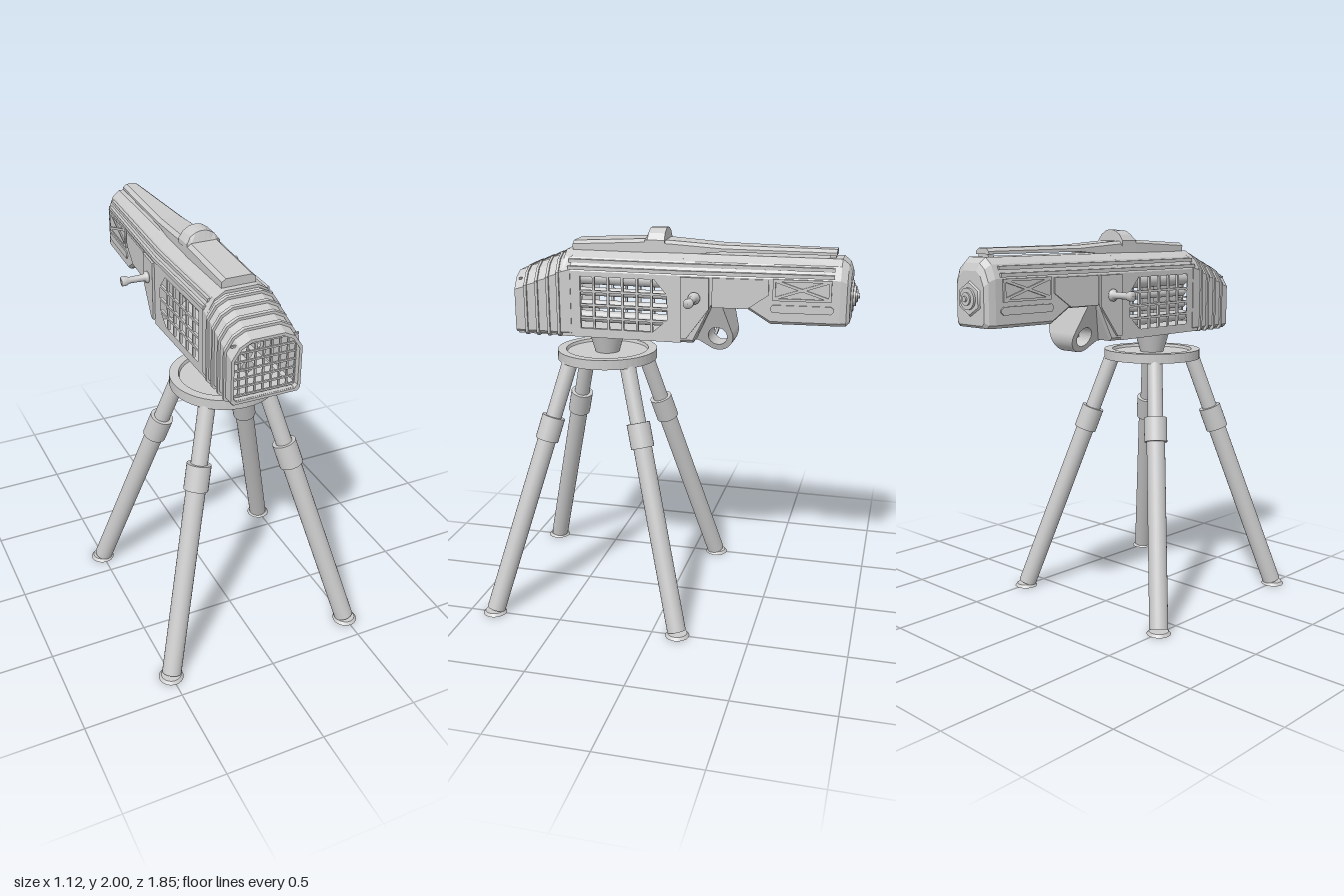
import * as THREE from 'three';

const smooth = new THREE.MeshStandardMaterial({ color: 0xcccccc });
const flat = new THREE.MeshStandardMaterial({ color: 0xcccccc, flatShading: true });
const double = new THREE.MeshStandardMaterial({ color: 0xcccccc, side: THREE.DoubleSide });
const V = (x, y, z) => new THREE.Vector3(x, y, z);

// Half width of the housing along its length: straight at the front, tapering to the rear
const halfWidth = z => (z > -0.07 ? 0.17 : 0.17 + (z + 0.07) * 0.062);

function add(parent, name, geometry, material = flat) {
  const mesh = new THREE.Mesh(geometry, material);
  mesh.name = name;
  parent.add(mesh);
  return mesh;
}

// Cylinder between two points
function rod(parent, name, a, b, ra, rb = ra, sides = 24) {
  const m = add(parent, name, new THREE.CylinderGeometry(rb, ra, a.distanceTo(b), sides), smooth);
  m.position.copy(a).lerp(b, 0.5);
  m.quaternion.setFromUnitVectors(V(0, 1, 0), b.clone().sub(a).normalize());
}

// Square bar between two points
function beam(parent, name, a, b, w, h) {
  const m = add(parent, name, new THREE.BoxGeometry(w, h, a.distanceTo(b)));
  m.position.copy(a).lerp(b, 0.5);
  m.lookAt(b);
}

// Skin over matching cross-sections running front to back
function loft(sections, capped = true) {
  const out = [];
  const tri = (...p) => p.forEach(v => out.push(v.x, v.y, v.z));
  const n = sections[0].length;
  for (let k = 0; k + 1 < sections.length; k++) {
    const a = sections[k], b = sections[k + 1];
    for (let i = 0; i < n; i++) {
      const j = (i + 1) % n;
      tri(a[i], b[i], a[j]);
      tri(a[j], b[i], b[j]);
    }
  }
  if (capped) {
    const f = sections[0], r = sections.at(-1);
    for (let i = 1; i + 1 < n; i++) {
      tri(f[0], f[i], f[i + 1]);
      tri(r[0], r[i + 1], r[i]);
    }
  }
  const g = new THREE.BufferGeometry();
  g.setAttribute('position', new THREE.Float32BufferAttribute(out, 3));
  g.computeVertexNormals();
  return g;
}

// Mirrors the right-hand half of a section to close it
const mirrored = (half, z) => [
  ...half.map(([x, y]) => V(x, y, z)),
  ...half.slice().reverse().map(([x, y]) => V(-x, y, z)),
];
const shoulders = (w, s, t) => [[w, s], [w * 0.78, s + (t - s) * 0.68], [w * 0.48, t]];
const section = (z, w, b, s, t) => mirrored([[w - 0.015, b], [w, b + 0.015], ...shoulders(w, s, t)], z);

// Plate on one side wall, drawn as [z, y] points and bent to follow the taper
function sidePlate(parent, name, side, points, from, to, hole) {
  const path = pts => pts.map(([z, y]) => new THREE.Vector2(-side * z, y));
  const shape = new THREE.Shape(path(points));
  if (hole) shape.holes.push(new THREE.Path(path(hole)));
  const g = new THREE.ExtrudeGeometry(shape, { depth: to - from, bevelEnabled: false });
  const p = g.attributes.position;
  for (let i = 0; i < p.count; i++) {
    const z = -side * p.getX(i);
    p.setXYZ(i, side * (halfWidth(z) + from + p.getZ(i)), p.getY(i), z);
  }
  g.computeVertexNormals();
  add(parent, name, g);
}
const rect = (z0, z1, y0, y1) => [[z0, y0], [z1, y0], [z1, y1], [z0, y1]];

function buildTripod() {
  const g = new THREE.Group();
  g.name = 'tripod';
  g.position.z = 0.365;
  const rim = [[0, 1.31], [0.26, 1.31], [0.26, 1.36], [0.215, 1.36], [0.21, 1.345], [0, 1.345]];
  const disc = new THREE.LatheGeometry(rim.map(p => new THREE.Vector2(...p)), 48).toNonIndexed();
  disc.computeVertexNormals();
  add(g, 'platform', disc);
  rod(g, 'neck', V(0, 1.34, 0), V(0, 1.47, 0), 0.062, 0.1, 32);
  for (const sx of [-1, 1]) for (const sz of [-1, 1]) {
    const at = y => V(sx * (0.5 - y * 0.263), y, sz * (0.5 - y * 0.263));
    rod(g, 'lowerLeg', at(0.02), at(1.0), 0.048);
    rod(g, 'upperLeg', at(0.95), at(1.32), 0.041);
    rod(g, 'legCollar', at(0.915), at(1.035), 0.06);
    rod(g, 'foot', V(sx * 0.5, 0, sz * 0.5), V(sx * 0.5, 0.015, sz * 0.5), 0.062, 0.05);
  }
  return g;
}

function buildFront(g) {
  // Stepped hood, each step a hollow ring a little taller than the one before
  const zs = [0.8, 0.74, 0.68, 0.62, 0.565, 0.5];
  for (let i = 0; i < 5; i++) {
    const ring = (z, t, o) => section(z, 0.173 + o, 1.46 - o, t - 0.085 + o * 0.5, t + o);
    const t0 = 1.768 + i * 0.024, t1 = t0 + 0.018;
    const shell = (a, b, ta, tb, o) => loft([ring(a, ta, o), ring(b, tb, o),
      ring(b, tb, -0.014), ring(a, ta, -0.014), ring(a, ta, o)], false);
    add(g, 'hoodStep', shell(zs[i], zs[i + 1], t0, t1, 0));
    if (i < 4) add(g, 'hoodRib', shell(zs[i + 1] + 0.007, zs[i + 1] - 0.007, t1, t1 + 0.004, 0.01));
  }
  // Front grille
  for (let i = 0; i < 9; i++) {
    const x = -0.16 + i * 0.04, top = 1.755 - Math.max(0, Math.abs(x) - 0.08) * 0.65;
    beam(g, 'grilleBar', V(x, 1.46, 0.765), V(x, top, 0.765), 0.009, 0.009);
  }
  for (let i = 0; i < 7; i++) {
    const y = 1.485 + i * 0.042;
    beam(g, 'grilleBar', V(-0.165, y, 0.77), V(0.165, y, 0.77), 0.009, 0.009);
  }
  // Hollow chamber: floor, roof and windowed walls
  const floor = add(g, 'floor', new THREE.BoxGeometry(0.32, 0.02, 0.85));
  floor.position.set(0, 1.465, 0.365);
  add(g, 'roof', loft([0.54, -0.07].map(z => mirrored(shoulders(0.17, 1.79, 1.885), z))));
  const pane = [[0.45, 1.5], [0.075, 1.5], [0, 1.565], [0, 1.69], [0.065, 1.765], [0.45, 1.765]];
  for (const s of [-1, 1]) {
    sidePlate(g, 'sideWall', s, rect(0.55, -0.07, 1.455, 1.79), -0.02, 0, pane);
    for (let i = 0; i < 5; i++)
      sidePlate(g, 'windowBar', s, rect(0.386 - i * 0.075, 0.374 - i * 0.075, 1.49, 1.77), -0.016, -0.003);
    for (const y of [1.555, 1.62, 1.69])
      sidePlate(g, 'windowBar', s, rect(0.46, -0.01, y - 0.006, y + 0.006), -0.016, -0.003);
  }
  for (const [y, r] of [[1.728, 0.035], [1.655, 0.022], [1.59, 0.022], [1.525, 0.03]])
    rod(g, 'innerTube', V(0, y, 0.62), V(0, y, -0.08), r);
}

function buildRear(g) {
  const hull = [[-0.06, 1.455], [-0.13, 1.455], [-0.22, 1.635], [-0.4, 1.635], [-0.51, 1.567], [-0.84, 1.567]]
    .map(([z, b]) => section(z, halfWidth(z), b, 1.79, 1.885));
  hull.push(section(-0.872, 0.112, 1.568, 1.775, 1.86), section(-0.887, 0.095, 1.58, 1.755, 1.825));
  add(g, 'rearHull', loft(hull));
  // Stacked end cap
  rod(g, 'endPlate', V(0, 1.7, -0.88), V(0, 1.7, -0.897), 0.085, 0.075, 6);
  rod(g, 'endDisc', V(0, 1.7, -0.89), V(0, 1.7, -0.908), 0.05);
  rod(g, 'endKnob', V(0, 1.7, -0.9), V(0, 1.7, -0.916), 0.03);
  rod(g, 'endPin', V(0, 1.7, -0.91), V(0, 1.7, -0.925), 0.013);

  for (const s of [-1, 1]) {
    sidePlate(g, 'gripMount', s, [[-0.07, 1.48], [-0.1, 1.48], [-0.21, 1.63], [-0.21, 1.785], [-0.07, 1.785]], -0.005, 0.012);
    sidePlate(g, 'sidePanel', s, [[-0.225, 1.64], [-0.4, 1.64], [-0.5, 1.71], [-0.5, 1.785], [-0.225, 1.785]], -0.005, 0.007);
    // Braced frame with a cross
    sidePlate(g, 'braceFrame', s, rect(-0.52, -0.8, 1.685, 1.79), -0.005, 0.008, rect(-0.533, -0.787, 1.697, 1.778));
    for (const k of [0, 1]) {
      const ya = k ? 1.69 : 1.775, yb = k ? 1.775 : 1.69;
      sidePlate(g, 'crossBrace', s, [[-0.53, ya], [-0.79, yb], [-0.79, yb + 0.013], [-0.53, ya + 0.013]], -0.005, 0.007);
    }
    sidePlate(g, 'lowerStrip', s, [[-0.51, 1.64], [-0.52, 1.626], [-0.8, 1.626], [-0.815, 1.64],
      [-0.815, 1.65], [-0.8, 1.664], [-0.52, 1.664], [-0.51, 1.65]], -0.005, 0.007);
    // Side handle turned around x
    const turned = [[0, 0], [0.03, 0], [0.03, 0.012], [0.018, 0.02], [0.016, 0.1], [0.024, 0.115], [0.024, 0.138], [0, 0.138]];
    const handle = add(g, 'sideHandle', new THREE.LatheGeometry(turned.map(p => new THREE.Vector2(...p)), 24), double);
    handle.position.set(s * 0.178, 1.685, -0.14);
    handle.rotation.z = -s * Math.PI / 2;
    // Long shoulder rails
    for (const [f, y] of [[0.985, 1.806], [0.86, 1.838]])
      for (const [a, b] of [[0.51, -0.07], [-0.07, -0.81]])
        beam(g, 'shoulderRail', V(s * halfWidth(a) * f, y, a), V(s * halfWidth(b) * f, y, b), 0.016, 0.018);
  }
}

function buildBracket(g) {
  // Hanging bracket with a round eye, narrowing towards the bottom
  const shape = new THREE.Shape();
  shape.moveTo(0.07, 1.64);
  shape.lineTo(0.07, 1.455);
  shape.lineTo(0.14, 1.45);
  shape.absarc(0.24, 1.478, 0.078, -2.3, 0.25, false);
  shape.lineTo(0.275, 1.64);
  shape.holes.push(new THREE.Path().absarc(0.24, 1.478, 0.048, 0, Math.PI * 2, true));
  const geo = new THREE.ExtrudeGeometry(shape, { depth: 1, bevelEnabled: false, curveSegments: 20 });
  const p = geo.attributes.position;
  for (let i = 0; i < p.count; i++) {
    const y = p.getY(i), hw = 0.05 + (y - 1.4) * 0.4;
    p.setXYZ(i, (p.getZ(i) - 0.5) * 2 * hw, y, -p.getX(i));
  }
  geo.computeVertexNormals();
  add(g, 'bracket', geo);
  beam(g, 'trigger', V(0, 1.53, -0.235), V(0, 1.47, -0.215), 0.03, 0.014);
}

function buildTop(g) {
  const cover = [[0.51, 0.085, 1.87, 1.927], [0.14, 0.085, 1.87, 1.948], [0, 0.08, 1.87, 1.943],
    [-0.25, 0.07, 1.897, 1.928], [-0.81, 0.045, 1.897, 1.925]];
  add(g, 'topCover', loft(cover.map(([z, w, b, t]) => mirrored([[w, b], [w, t - 0.015], [w - 0.02, t]], z))));
  const post = add(g, 'coverPost', new THREE.BoxGeometry(0.07, 0.04, 0.03));
  post.position.set(0, 1.885, -0.79);
  // Domed sight block
  const dome = (z, k) => mirrored([[0.085, 1.92], [0.085, 1.945], [0.062, 1.945 + 0.032 * k],
    [0.032, 1.945 + 0.05 * k], [0.012, 1.945 + 0.055 * k]], z);
  add(g, 'sightBlock', loft([dome(0.135, 0.1), dome(0.12, 0.95), dome(0.035, 1), dome(0.033, 0)]));
}

export function createModel() {
  const model = new THREE.Group();
  model.name = 'tripodLauncher';
  const housing = new THREE.Group();
  housing.name = 'housing';
  buildFront(housing);
  buildRear(housing);
  buildBracket(housing);
  buildTop(housing);
  model.add(buildTripod(), housing);
  return model;
}
